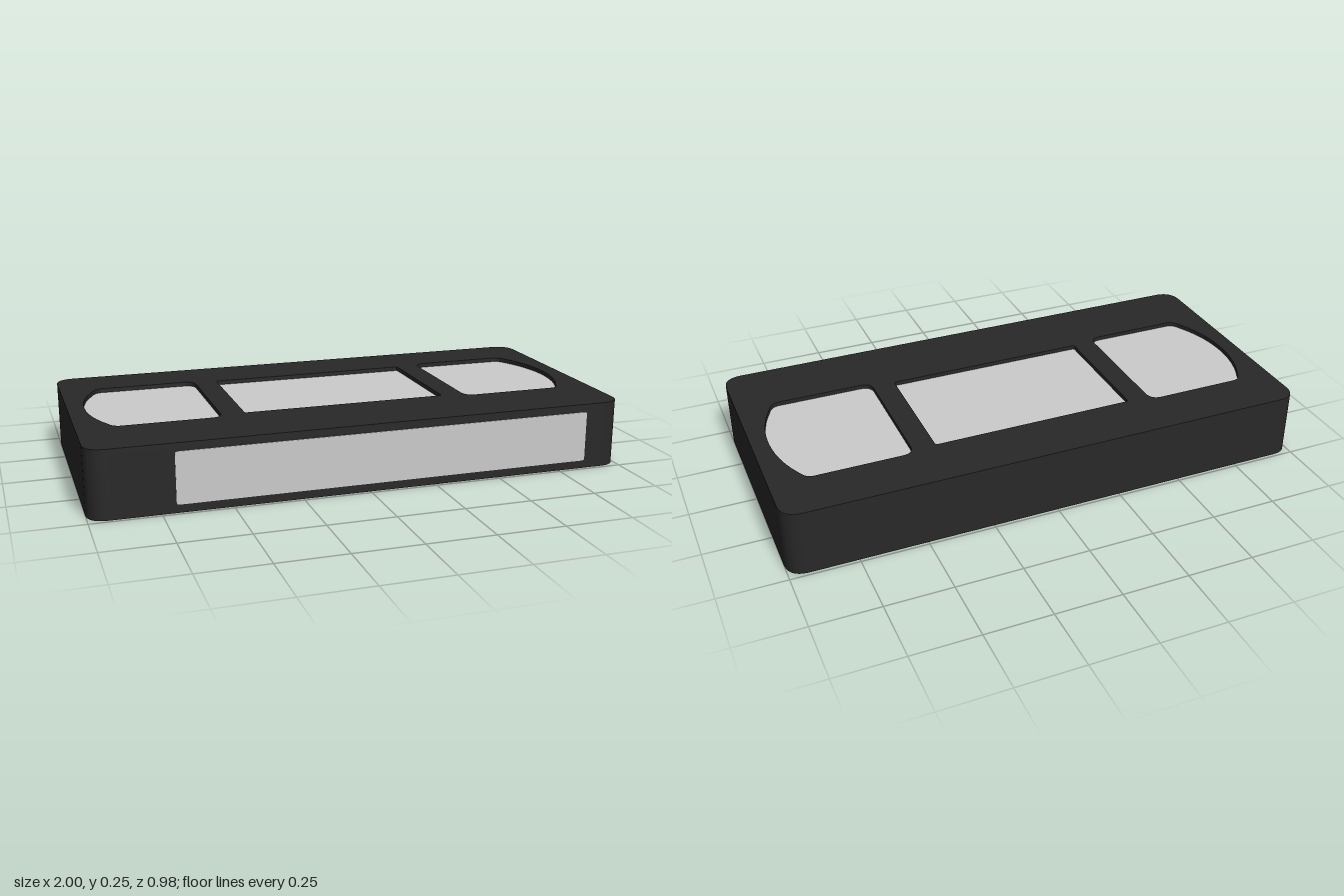
import * as THREE from 'three';
import { toCreasedNormals } from 'three/addons/utils/BufferGeometryUtils.js';

const W = 2, H = 0.25, D = 0.976;
const RECESS = 0.02;      // depth of the pockets in the top
const ZC = 0.03;          // pockets sit slightly behind the middle (shape y = -z)

const black = new THREE.MeshStandardMaterial({ color: 0x282828 });
const grey = new THREE.MeshStandardMaterial({ color: 0xcccccc });

// Rectangle with rounded corners
function roundedRect(x0, y0, x1, y1, r) {
  const s = new THREE.Shape();
  s.moveTo(x0 + r, y0);
  s.lineTo(x1 - r, y0);
  s.quadraticCurveTo(x1, y0, x1, y0 + r);
  s.lineTo(x1, y1 - r);
  s.quadraticCurveTo(x1, y1, x1 - r, y1);
  s.lineTo(x0 + r, y1);
  s.quadraticCurveTo(x0, y1, x0, y1 - r);
  s.lineTo(x0, y0 + r);
  s.quadraticCurveTo(x0, y0, x0 + r, y0);
  return s;
}

// Reel window with a straight inner side and a bowed outer side; side is 1 or -1
function reelShape(side) {
  const h = 0.263, r = 0.045;
  const X = (x) => x * side;
  const s = new THREE.Shape();
  s.moveTo(X(0.475 + r), ZC - h);
  s.lineTo(X(0.84), ZC - h);
  s.quadraticCurveTo(X(0.868), ZC - h, X(0.883), ZC - h + 0.04);
  s.bezierCurveTo(X(0.955), ZC - 0.09, X(0.955), ZC + 0.09, X(0.883), ZC + h - 0.04);
  s.quadraticCurveTo(X(0.868), ZC + h, X(0.84), ZC + h);
  s.lineTo(X(0.475 + r), ZC + h);
  s.quadraticCurveTo(X(0.475), ZC + h, X(0.475), ZC + h - r);
  s.lineTo(X(0.475), ZC - h + r);
  s.quadraticCurveTo(X(0.475), ZC - h, X(0.475 + r), ZC - h);
  return s;
}

// Horizontal slab from y0 to y1
function slab(name, shape, y0, y1, material) {
  const geo = new THREE.ExtrudeGeometry(shape, { depth: y1 - y0, bevelEnabled: false, curveSegments: 12 });
  geo.rotateX(-Math.PI / 2);
  geo.translate(0, y0, 0);
  const mesh = new THREE.Mesh(toCreasedNormals(geo, 0.6), material);
  mesh.name = name;
  return mesh;
}

export function createModel() {
  const group = new THREE.Group();
  group.name = 'videoCassette';

  const outline = () => roundedRect(-W / 2, -D / 2, W / 2, D / 2, 0.075);
  const windows = {
    centreLabel: roundedRect(-0.388, ZC - 0.235, 0.388, ZC + 0.242, 0.01),
    leftReelWindow: reelShape(1),
    rightReelWindow: reelShape(-1),
  };

  // Shell: solid base plus a top plate with three cut-outs
  group.add(slab('shellBase', outline(), 0, H - RECESS, black));
  const plate = outline();
  plate.holes.push(...Object.values(windows));
  group.add(slab('shellTop', plate, H - RECESS, H, black));

  // Grey inserts lying in the pockets
  for (const [name, shape] of Object.entries(windows)) {
    group.add(slab(name, shape, H - RECESS - 0.005, H - RECESS + 0.004, grey));
  }

  // Spine label on the front edge, nearly flush
  const spine = new THREE.Mesh(
    new THREE.ExtrudeGeometry(roundedRect(-0.7, 0.03, 0.855, 0.22, 0.01), { depth: 0.006, bevelEnabled: false }),
    grey
  );
  spine.position.z = D / 2 - 0.004;
  spine.name = 'spineLabel';
  group.add(spine);

  return group;
}
